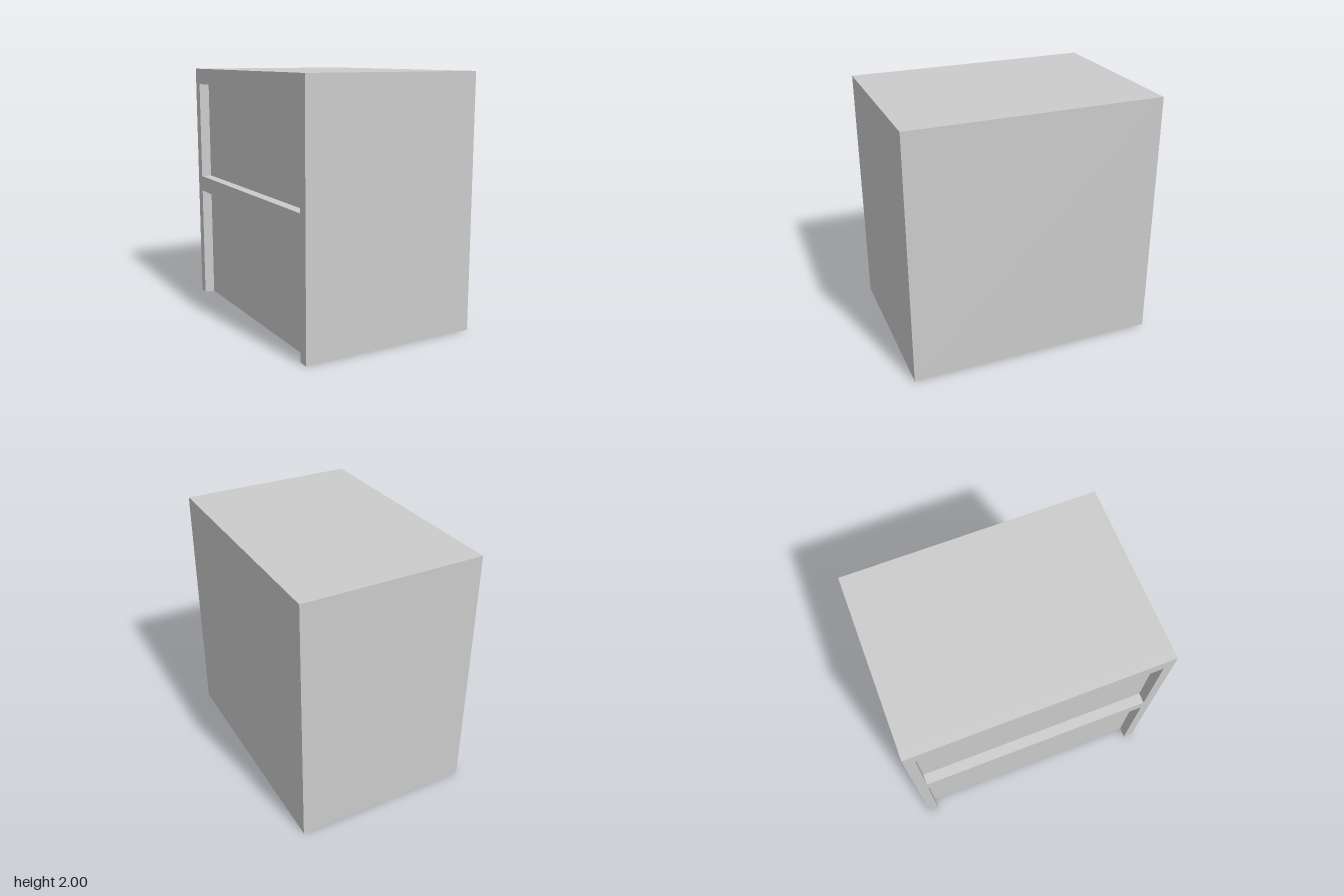
import * as THREE from 'three';

const HALF_W = 0.715, HEIGHT = 2, HALF_D = 1; // overall size
const RECESS = 0.083; // depth of the openings
const STILE = 0.08, RAIL = 0.13; // frame widths

export function createModel() {
  const group = new THREE.Group();
  group.name = 'cabinet';
  const material = new THREE.MeshStandardMaterial({ color: 0xcccccc, flatShading: true });
  const add = (name, geometry) => {
    const mesh = new THREE.Mesh(geometry, material);
    mesh.name = name;
    group.add(mesh);
  };

  // Solid body, its side forming the back of the recesses
  const body = new THREE.BoxGeometry(2 * HALF_W - RECESS, HEIGHT, 2 * HALF_D);
  body.translate(RECESS / 2, HEIGHT / 2, 0);
  add('body', body);

  // Side frame: lower opening runs down to the floor, upper one is closed
  const inner = HALF_D - STILE;
  const midTop = 1.065, midBottom = midTop - RAIL;
  const points = (list) => list.map(([z, y]) => new THREE.Vector2(z, y));
  const frame = new THREE.Shape(points([
    [-HALF_D, 0], [-inner, 0], [-inner, midBottom], [inner, midBottom],
    [inner, 0], [HALF_D, 0], [HALF_D, HEIGHT], [-HALF_D, HEIGHT],
  ]));
  frame.holes.push(new THREE.Path(points([
    [-inner, midTop], [-inner, HEIGHT - RAIL], [inner, HEIGHT - RAIL], [inner, midTop],
  ])));
  const frameGeometry = new THREE.ExtrudeGeometry(frame, { depth: RECESS, bevelEnabled: false });
  frameGeometry.rotateY(-Math.PI / 2);
  frameGeometry.translate(-HALF_W + RECESS, 0, 0);
  add('sideFrame', frameGeometry);

  return group;
}
